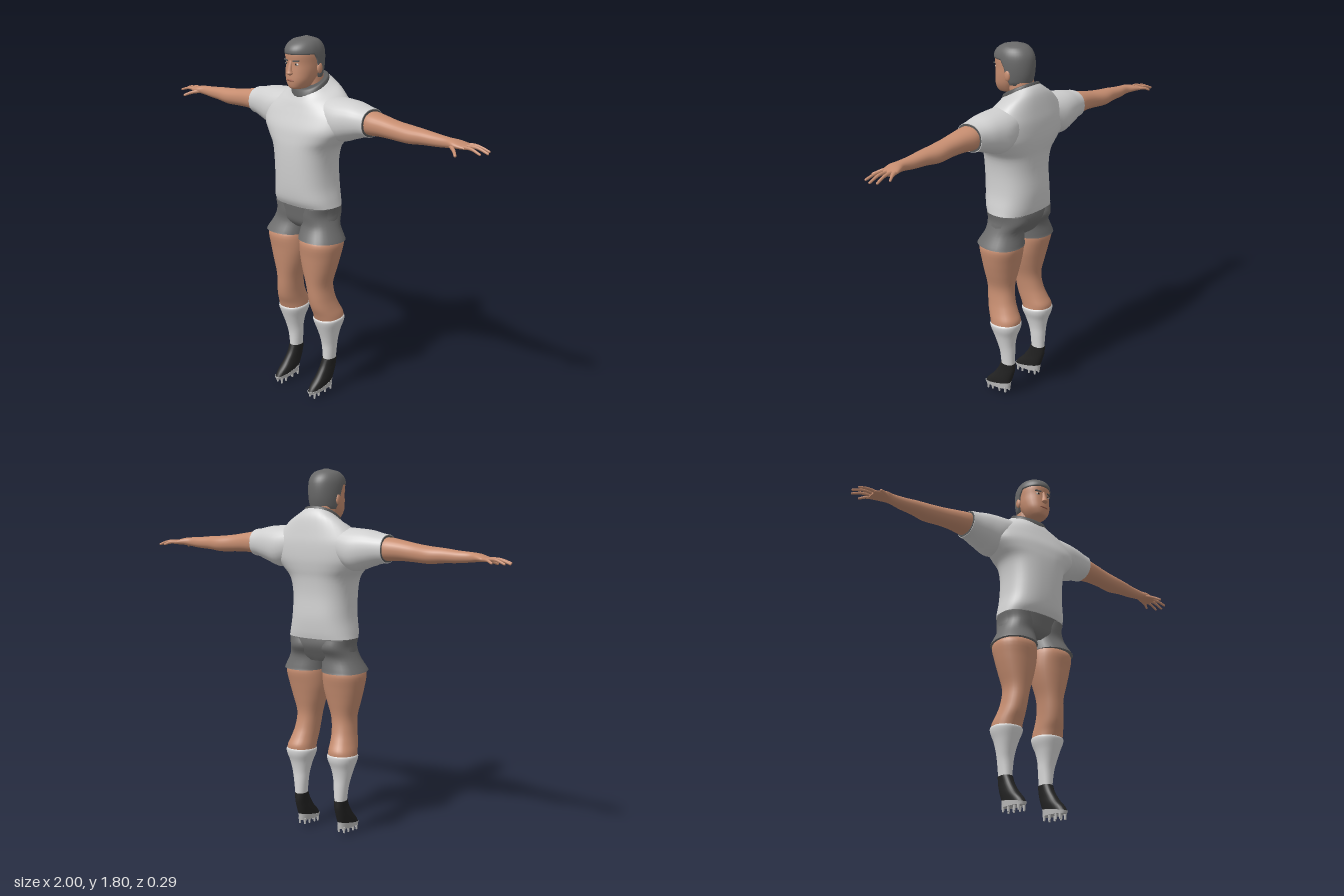
import * as THREE from 'three';

const mat = (name, color, double) => {
  const m = new THREE.MeshStandardMaterial({ color });
  m.name = name;
  if (double) m.side = THREE.DoubleSide;
  return m;
};

// Catmull-Rom interpolation between two rows of numbers
function mix(rows, i, t) {
  const at = k => rows[Math.max(0, Math.min(rows.length - 1, k))];
  const [a, b, c, d] = [at(i - 1), at(i), at(i + 1), at(i + 2)];
  return b.map((_, k) => 0.5 * (2 * b[k] + (c[k] - a[k]) * t +
    (2 * a[k] - 5 * b[k] + 4 * c[k] - d[k]) * t * t +
    (3 * b[k] - a[k] - 3 * c[k] + d[k]) * t * t * t));
}

// Rows of points around a limb or body -> smooth closed skin with end caps
function skin(rows, flip) {
  const n = rows[0].length, pos = [], idx = [];
  const tri = (a, b, c) => flip ? idx.push(a, c, b) : idx.push(a, b, c);
  rows.forEach(r => r.forEach(p => pos.push(...p)));
  for (let i = 0; i < rows.length - 1; i++) for (let j = 0; j < n; j++) {
    const a = i * n + j, b = i * n + (j + 1) % n;
    tri(a, a + n, b);
    tri(b, a + n, b + n);
  }
  [rows[0], rows[rows.length - 1]].forEach((r, end) => {
    const o = pos.length / 3;
    r.forEach(p => pos.push(...p));
    pos.push(...[0, 1, 2].map(k => r.reduce((s, p) => s + p[k], 0) / n));
    for (let j = 0; j < n; j++) {
      const k = (j + 1) % n;
      if (end) tri(o + k, o + j, o + n); else tri(o + j, o + k, o + n);
    }
  });
  const g = new THREE.BufferGeometry();
  g.setAttribute('position', new THREE.Float32BufferAttribute(pos, 3));
  g.setIndex(idx);
  g.computeVertexNormals();
  return g;
}

const power = (v, e) => Math.sign(v) * Math.abs(v) ** e;

// Upright sections [y, x0, x1, z0, z1, tilt]; sideways sections [x, z0, z1, y0, y1, tilt]
function loft(sections, { side = 1, sideways = false, e = 0.9, seg = 28, sub = 4 } = {}) {
  const full = sections.map(s => s.length < 6 ? [...s, 0] : s), rows = [];
  for (let i = 0; i < full.length - 1; i++)
    for (let k = 0; k < sub; k++) rows.push(mix(full, i, k / sub));
  rows.push(full[full.length - 1]);
  return skin(rows.map(([h, p0, p1, q0, q1, tilt]) => Array.from({ length: seg }, (_, j) => {
    const a = j / seg * Math.PI * 2;
    const p = (p0 + p1) / 2 + (p1 - p0) / 2 * power(Math.cos(a), e);
    const q = (q0 + q1) / 2 + (q1 - q0) / 2 * power(Math.sin(a), e);
    return sideways ? [side * h, q, p] : [side * p, h + tilt * q, q];
  })), side < 0);
}

// Symmetric section from half width
const sym = ([y, r, z0, z1, tilt = 0]) => [y, -r, r, z0, z1, tilt];

export function createModel() {
  const model = new THREE.Group();
  model.name = 'sportsman';
  const shirt = mat('shirt', 0xcfcfcf), shorts = mat('shorts grey', 0x6e6e6e, true);
  const skinTone = mat('skin', 0xc68d70), hairGrey = mat('hair grey', 0x686868, true);
  const sock = mat('sock white', 0xdadada), black = mat('boot black', 0x222222);
  const soleGrey = mat('sole grey', 0xbdbdbd), trim = mat('trim grey', 0x585858);
  const lip = mat('lip', 0x9a5f4c), white = mat('eye white', 0xd8d0c8);
  const add = (name, geo, m, parent = model) => {
    const mesh = new THREE.Mesh(geo, m);
    mesh.name = name;
    parent.add(mesh);
    return mesh;
  };
  const blob = (name, m, p, s, parent) => {
    const b = add(name, new THREE.SphereGeometry(1, 14, 10), m, parent);
    b.position.set(...p);
    b.scale.set(...s);
    return b;
  };

  // Shirt body and collar
  add('shirtBody', loft([
    [0.995, 0.177, -0.12, 0.112], [1.03, 0.17, -0.126, 0.13], [1.1, 0.157, -0.13, 0.14],
    [1.2, 0.155, -0.125, 0.145], [1.28, 0.17, -0.13, 0.145], [1.33, 0.212, -0.14, 0.14],
    [1.38, 0.25, -0.147, 0.13], [1.44, 0.25, -0.147, 0.108, -0.05], [1.48, 0.22, -0.14, 0.095, -0.15],
    [1.52, 0.165, -0.128, 0.085, -0.35], [1.545, 0.115, -0.115, 0.075, -0.45],
    [1.565, 0.086, -0.1, 0.065, -0.5],
  ].map(sym), { e: 0.82, seg: 40 }), shirt);
  add('collar', loft([
    [1.54, 0.086, -0.1, 0.068, -0.5], [1.555, 0.091, -0.102, 0.072, -0.5],
    [1.578, 0.085, -0.094, 0.062, -0.5], [1.582, 0.074, -0.085, 0.05, -0.5],
  ].map(sym)), trim);

  // Head, neck and face
  const head = new THREE.Group();
  head.name = 'head';
  model.add(head);
  add('neck', loft([[1.5, 0.064, -0.08, 0.035], [1.56, 0.062, -0.078, 0.03],
    [1.63, 0.06, -0.07, 0.04]].map(sym)), skinTone, head);
  add('skull', loft([
    [1.56, 0.025, 0.05, 0.1], [1.568, 0.042, 0.005, 0.113], [1.6, 0.062, -0.02, 0.12],
    [1.64, 0.072, -0.055, 0.119], [1.68, 0.075, -0.073, 0.117], [1.73, 0.075, -0.073, 0.12],
    [1.77, 0.055, -0.05, 0.09],
  ].map(sym)), skinTone, head);
  add('nose', loft([[1.627, 0.009, 0.1, 0.127], [1.635, 0.017, 0.1, 0.138],
    [1.65, 0.012, 0.1, 0.134], [1.695, 0.008, 0.1, 0.12]].map(sym), { seg: 12 }), skinTone, head);
  blob('mouth', lip, [0, 1.602, 0.117], [0.024, 0.005, 0.006], head);
  for (const s of [1, -1]) {
    blob('ear', skinTone, [s * 0.077, 1.655, 0.002], [0.009, 0.026, 0.016], head);
    blob('eye', white, [s * 0.03, 1.678, 0.107], [0.013, 0.006, 0.006], head);
    blob('pupil', black, [s * 0.03, 1.679, 0.111], [0.006, 0.005, 0.004], head);
    const brow = add('brow', new THREE.BoxGeometry(0.032, 0.006, 0.009), trim, head);
    brow.position.set(s * 0.032, 1.694, 0.111);
    brow.rotation.set(0, s * 0.3, s * 0.1);
  }

  // Hair: fringe high at the front, long at the back
  const hairRows = [[1.58, 0.066, -0.064, 0.1], [1.61, 0.074, -0.069, 0.11], [1.65, 0.08, -0.08, 0.118],
    [1.7, 0.083, -0.084, 0.126], [1.74, 0.081, -0.08, 0.128], [1.765, 0.072, -0.066, 0.112],
    [1.785, 0.053, -0.042, 0.08], [1.797, 0.012, 0, 0.03]];
  const hairAt = (y, a, shrink) => {
    let i = 0;
    while (i < hairRows.length - 2 && hairRows[i + 1][0] < y) i++;
    const t = (y - hairRows[i][0]) / (hairRows[i + 1][0] - hairRows[i][0]);
    const [, r, z0, z1] = mix(hairRows, i, t);
    return [r * shrink * Math.cos(a), y, (z0 + z1) / 2 + (z1 - z0) / 2 * shrink * Math.sin(a)];
  };
  const hair = [];
  for (let k = -1; k <= 16; k++) hair.push(Array.from({ length: 40 }, (_, j) => {
    const a = j / 40 * Math.PI * 2;
    const low = 1.61 + 0.113 * THREE.MathUtils.smoothstep(Math.sin(a), -0.3, 0.15);
    const t = Math.sin(Math.max(0, k) / 16 * Math.PI / 2);
    return hairAt(low + (1.797 - low) * t, a, k < 0 ? 0.86 : 1);
  }));
  add('hair', skin(hair), hairGrey, head);

  // Shorts hips
  add('shortsHips', loft([[0.88, 0.1, -0.07, 0.07], [0.91, 0.168, -0.088, 0.092],
    [0.96, 0.168, -0.113, 0.102], [1.005, 0.174, -0.11, 0.108]].map(sym), { e: 0.85 }), shorts);

  for (const side of [1, -1]) {
    const word = side > 0 ? 'left' : 'right';
    const arm = new THREE.Group(), leg = new THREE.Group();
    arm.name = word + 'Arm';
    leg.name = word + 'Leg';
    model.add(arm, leg);

    // Sleeve, cuff lining, bare arm
    const across = { side, sideways: true };
    add('sleeve', loft([[0.1, -0.12, 0.06, 1.38, 1.53], [0.2, -0.14, 0.075, 1.325, 1.526],
      [0.28, -0.13, 0.062, 1.345, 1.52], [0.34, -0.115, 0.048, 1.365, 1.507],
      [0.375, -0.108, 0.042, 1.37, 1.502]], across), shirt, arm);
    add('cuffLining', loft([[0.372, -0.105, 0.039, 1.373, 1.499],
      [0.377, -0.105, 0.039, 1.373, 1.499]], { ...across, sub: 1 }), trim, arm);
    add('bareArm', loft([[0.33, -0.09, 0.02, 1.39, 1.485], [0.38, -0.098, 0.03, 1.382, 1.49],
      [0.45, -0.088, 0.022, 1.385, 1.48], [0.52, -0.084, 0.015, 1.383, 1.468],
      [0.6, -0.09, 0.01, 1.38, 1.459], [0.67, -0.08, 0, 1.387, 1.454],
      [0.74, -0.075, -0.01, 1.391, 1.447], [0.8, -0.068, -0.015, 1.397, 1.443],
      [0.84, -0.083, -0.006, 1.402, 1.439], [0.87, -0.092, -0.01, 1.404, 1.431],
      [0.9, -0.086, -0.02, 1.405, 1.422]], across), skinTone, arm);

    // Fingers and thumb
    [[[0.87, 1.417, -0.081], [0.905, 1.416, -0.099], [0.93, 1.406, -0.112]],
      [[0.88, 1.417, -0.07], [0.935, 1.418, -0.082], [0.98, 1.403, -0.09]],
      [[0.885, 1.417, -0.05], [0.94, 1.419, -0.056], [0.994, 1.402, -0.06]],
      [[0.88, 1.417, -0.03], [0.935, 1.416, -0.027], [0.98, 1.403, -0.022]],
      [[0.83, 1.415, -0.02], [0.87, 1.404, 0.01], [0.893, 1.392, 0.031]],
    ].forEach((pts, i) => {
      const path = new THREE.CatmullRomCurve3(pts.map(p => new THREE.Vector3(side * p[0], p[1], p[2])));
      const r = i === 4 ? 0.01 : 0.0085, name = i === 4 ? 'thumb' : 'finger';
      const g = new THREE.TubeGeometry(path, 10, r, 8);
      const v = g.attributes.position, q = new THREE.Vector3();
      for (let k = 0; k < v.count; k++) { // taper towards the tip
        const t = Math.floor(k / 9) / 10, c = path.getPointAt(t);
        q.fromBufferAttribute(v, k).sub(c).multiplyScalar(1 - 0.35 * t).add(c);
        v.setXYZ(k, q.x, q.y, q.z);
      }
      add(name, g, skinTone, arm);
      const tip = pts[2];
      blob(name + 'Tip', skinTone, [side * tip[0], tip[1], tip[2]], [r * 0.65, r * 0.65, r * 0.65], arm);
    });

    // Shorts leg, bare leg, sock
    add('shortsLeg', loft([[0.83, 0, 0.22, -0.097, 0.13, 0.04], [0.845, 0, 0.213, -0.093, 0.123, 0.03],
      [0.9, 0, 0.184, -0.085, 0.098], [0.95, 0, 0.166, -0.112, 0.099],
      [0.99, 0.01, 0.17, -0.105, 0.1]], { side }), shorts, leg);
    add('bareLeg', loft([[0.41, 0.054, 0.191, -0.096, 0.052], [0.44, 0.055, 0.187, -0.096, 0.062],
      [0.48, 0.055, 0.176, -0.076, 0.078], [0.53, 0.052, 0.166, -0.056, 0.088],
      [0.6, 0.042, 0.162, -0.046, 0.095], [0.68, 0.018, 0.184, -0.06, 0.105],
      [0.75, 0.003, 0.202, -0.075, 0.113], [0.82, 0.002, 0.212, -0.088, 0.12],
      [0.86, 0.01, 0.185, -0.065, 0.09]], { side }), skinTone, leg);
    add('sock', loft([[0.17, 0.092, 0.145, -0.068, 0.003], [0.25, 0.085, 0.155, -0.07, 0.008],
      [0.3, 0.08, 0.165, -0.072, 0.02], [0.35, 0.068, 0.178, -0.082, 0.038],
      [0.39, 0.053, 0.192, -0.097, 0.053], [0.412, 0.05, 0.195, -0.1, 0.056, -0.05],
      [0.42, 0.06, 0.185, -0.09, 0.046, -0.05]], { side }), sock, leg);

    // Boot, sole and studs
    add('boot', loft([[0.058, 0.089, 0.148, -0.045, 0.116, -0.22], [0.09, 0.088, 0.149, -0.06, 0.097, -0.3],
      [0.12, 0.09, 0.147, -0.07, 0.056, -0.3], [0.15, 0.09, 0.146, -0.072, 0.025, -0.15],
      [0.185, 0.089, 0.148, -0.071, 0.007]], { side, e: 0.85 }), black, leg);
    add('sole', loft([[0.033, 0.091, 0.146, -0.042, 0.112, -0.08],
      [0.062, 0.088, 0.149, -0.047, 0.118, -0.22]], { side, e: 0.85, sub: 1 }), soleGrey, leg);
    for (const z of [0.09, 0.06, 0.015, -0.025]) for (const x of [0.103, 0.134]) {
      const base = (0.09 - z) * 0.12;
      const stud = add('stud', new THREE.CylinderGeometry(0.008, 0.005, 0.032, 10), soleGrey, leg);
      stud.position.set(side * x, base + 0.016, z);
    }
  }
  return model;
}
